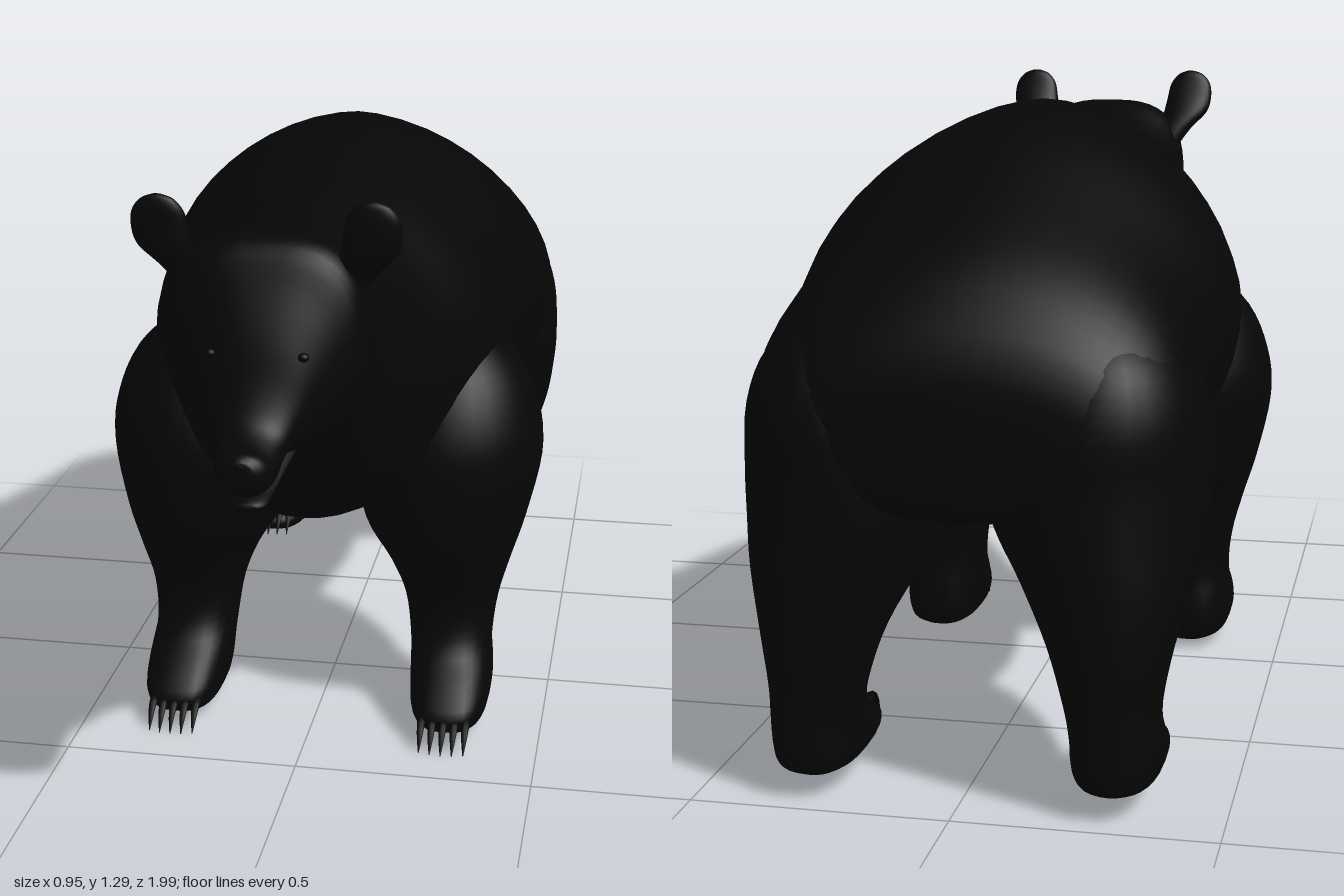
import * as THREE from 'three';

const fur = new THREE.MeshStandardMaterial({ color: 0x060606 });
fur.name = 'black fur';
const dark = new THREE.MeshStandardMaterial({ color: 0x040404 });
dark.name = 'nose and claw black';

// Smooth skin through stations [s, a0, a1, b0, b1, roundness].
// axis 'z': a = x, b = y (roundness shapes the upper half).
// axis 'y': a = z, b = x (roundness shapes the whole ring).
function loft(name, stations, axis, material, sides = 32, steps = 4) {
  const curve = (i, j, k) => new THREE.CatmullRomCurve3(
    stations.map(p => new THREE.Vector3(p[i], p[j], p[k])), false, 'catmullrom', 0.5);
  const first = curve(0, 1, 2), second = curve(3, 4, 5);
  const rows = (stations.length - 1) * steps;
  const pos = [], idx = [], ends = [];
  const put = (s, a, b) => axis === 'z' ? pos.push(a, b, s) : pos.push(b, s, a);
  for (let i = 0; i <= rows; i++) {
    const p = first.getPoint(i / rows), q = second.getPoint(i / rows);
    const ca = (p.y + p.z) / 2, ra = (p.z - p.y) / 2;
    const cb = (q.x + q.y) / 2, rb = (q.y - q.x) / 2;
    if (i === 0 || i === rows) ends.push([p.x, ca, cb]);
    for (let j = 0; j < sides; j++) {
      const t = j / sides * Math.PI * 2, c = Math.cos(t), s = Math.sin(t);
      const e = 2 / (s > 0 || axis === 'y' ? q.z : 2.1);
      put(p.x, ca + ra * Math.sign(c) * Math.abs(c) ** e, cb + rb * Math.sign(s) * Math.abs(s) ** e);
    }
  }
  for (let i = 0; i < rows; i++) for (let j = 0; j < sides; j++) {
    const k = (j + 1) % sides, a = i * sides + j, b = i * sides + k;
    idx.push(a, b, b + sides, a, b + sides, a + sides);
  }
  // end caps
  ends.forEach(e => put(...e));
  const n = (rows + 1) * sides;
  for (let j = 0; j < sides; j++) {
    const k = (j + 1) % sides;
    idx.push(n, k, j, n + 1, rows * sides + j, rows * sides + k);
  }
  const g = new THREE.BufferGeometry();
  g.setAttribute('position', new THREE.Float32BufferAttribute(pos, 3));
  g.setIndex(idx);
  g.computeVertexNormals();
  const mesh = new THREE.Mesh(g, material);
  mesh.name = name;
  return mesh;
}

// Swaps a y-axis station list to the other side of the body
const flip = (list, side) => side > 0 ? list : list.map(p => [p[0], p[1], p[2], -p[4], -p[3], p[5]]);

function ball(name, r, x, y, z, sx, sy, sz, material) {
  const m = new THREE.Mesh(new THREE.SphereGeometry(r, 16, 12), material);
  m.position.set(x, y, z);
  m.scale.set(sx, sy, sz);
  m.name = name;
  return m;
}

export function createModel() {
  const bear = new THREE.Group();
  bear.name = 'bear';

  // body, neck, head and upper muzzle: [z, half width, bottom, top, roundness]
  const trunk = [
    [-0.988, 0.2, 0.62, 0.76, 2], [-0.975, 0.3, 0.57, 0.84, 2], [-0.93, 0.36, 0.545, 0.925, 2],
    [-0.82, 0.405, 0.525, 1.03, 1.9], [-0.61, 0.42, 0.488, 1.14, 1.8], [-0.37, 0.452, 0.48, 1.24, 1.75],
    [-0.17, 0.425, 0.475, 1.268, 1.75], [0, 0.395, 0.475, 1.255, 1.75], [0.18, 0.36, 0.485, 1.225, 1.8],
    [0.34, 0.275, 0.51, 1.203, 1.9], [0.46, 0.23, 0.56, 1.185, 2], [0.54, 0.207, 0.63, 1.177, 2.2],
    [0.62, 0.194, 0.705, 1.195, 2.5], [0.70, 0.19, 0.785, 1.22, 2.9], [0.76, 0.178, 0.808, 1.205, 2.9],
    [0.80, 0.14, 0.815, 1.14, 2.5], [0.84, 0.1, 0.82, 1.055, 2.2], [0.87, 0.075, 0.818, 0.965, 2],
    [0.9, 0.063, 0.81, 0.91, 2], [0.945, 0.058, 0.795, 0.885, 2.2], [0.98, 0.046, 0.802, 0.883, 2.2],
    [0.998, 0.024, 0.83, 0.87, 2],
  ];
  bear.add(loft('bodyAndHead', trunk.map(([z, w, b, t, n]) => [z, -w, w, b, t, n]), 'z', fur, 48));

  // lower jaw, slightly open
  bear.add(loft('lowerJaw', [
    [0.74, -0.07, 0.07, 0.808, 0.86, 2], [0.82, -0.055, 0.055, 0.79, 0.825, 2],
    [0.89, -0.043, 0.043, 0.768, 0.797, 2], [0.935, -0.036, 0.036, 0.757, 0.784, 2],
    [0.953, -0.018, 0.018, 0.762, 0.777, 2],
  ], 'z', fur, 20));

  bear.add(ball('nose', 0.028, 0, 0.862, 0.977, 1, 0.72, 0.82, dark));

  // legs: [y, back z, front z, inner x, outer x, roundness]
  const foreLeg = [
    [0.02, 0.07, 0.325, 0.24, 0.35, 2.6], [0.035, 0.05, 0.355, 0.222, 0.374, 2.8],
    [0.07, 0.042, 0.362, 0.212, 0.384, 2.8], [0.12, 0.042, 0.315, 0.206, 0.385, 2.5],
    [0.18, 0.045, 0.252, 0.2, 0.38, 2.2], [0.27, 0.033, 0.236, 0.185, 0.39, 2.1],
    [0.36, 0.005, 0.27, 0.15, 0.414, 2.1], [0.46, -0.065, 0.31, 0.09, 0.445, 2.1],
    [0.6, -0.115, 0.325, 0.06, 0.475, 2], [0.7, -0.11, 0.31, 0.08, 0.465, 2],
    [0.8, -0.07, 0.26, 0.12, 0.422, 2], [0.89, 0.02, 0.18, 0.18, 0.33, 2],
  ];
  const hindLeg = [
    [0.045, -0.94, -0.7, 0.23, 0.34, 2.4], [0.06, -0.965, -0.655, 0.21, 0.365, 2.6],
    [0.09, -0.975, -0.645, 0.2, 0.375, 2.6], [0.145, -0.978, -0.735, 0.2, 0.375, 2.3],
    [0.21, -0.982, -0.775, 0.19, 0.375, 2.1], [0.32, -0.99, -0.73, 0.155, 0.395, 2.1],
    [0.43, -0.992, -0.615, 0.095, 0.425, 2.1], [0.52, -0.992, -0.53, 0.04, 0.44, 2.1],
    [0.62, -0.99, -0.485, 0.01, 0.448, 2.1], [0.74, -0.985, -0.5, 0.06, 0.438, 2.1],
    [0.84, -0.945, -0.57, 0.12, 0.395, 2], [0.92, -0.86, -0.68, 0.18, 0.3, 2],
  ];
  // ear: thin and rounded, rooted in the crown
  const ear = [
    [1.1, 0.66, 0.72, 0.12, 0.17, 2.1], [1.15, 0.675, 0.745, 0.125, 0.205, 2.1],
    [1.19, 0.695, 0.762, 0.135, 0.242, 2.1], [1.225, 0.715, 0.766, 0.142, 0.252, 2.1],
    [1.26, 0.732, 0.767, 0.15, 0.248, 2.1], [1.283, 0.742, 0.764, 0.168, 0.23, 2.1],
    [1.292, 0.75, 0.758, 0.19, 0.208, 2.1],
  ];

  for (const side of [1, -1]) {
    const label = side > 0 ? 'left' : 'right';
    bear.add(loft(label + 'ForeLeg', flip(foreLeg, side), 'y', fur));
    bear.add(loft(label + 'HindLeg', flip(hindLeg, side), 'y', fur));
    bear.add(loft(label + 'Ear', flip(ear, side), 'y', fur, 24));
    bear.add(ball(label + 'Eye', 0.011, side * 0.086, 1.02, 0.834, 1, 0.8, 0.9, dark));

    // five hooked claws on each paw
    for (const [paw, dz, dy, x0] of [['Fore', 0, 0, 0.298], ['Hind', -1.022, 0.055, 0.288]]) {
      for (let i = -2; i <= 2; i++) {
        const x = side * (x0 + i * 0.024), back = -0.002 * i * i;
        const claw = [[0.31, 0.06, 0.011], [0.36, 0.055, 0.009], [0.388, 0.032, 0.006], [0.405, 0.003, 0.001]];
        bear.add(loft(label + paw + 'Claw', claw.map(([z, y, r]) =>
          [z + dz + back, x - r, x + r, y + dy - r, y + dy + r, 2]), 'z', dark, 8, 3));
      }
    }
  }
  return bear;
}
